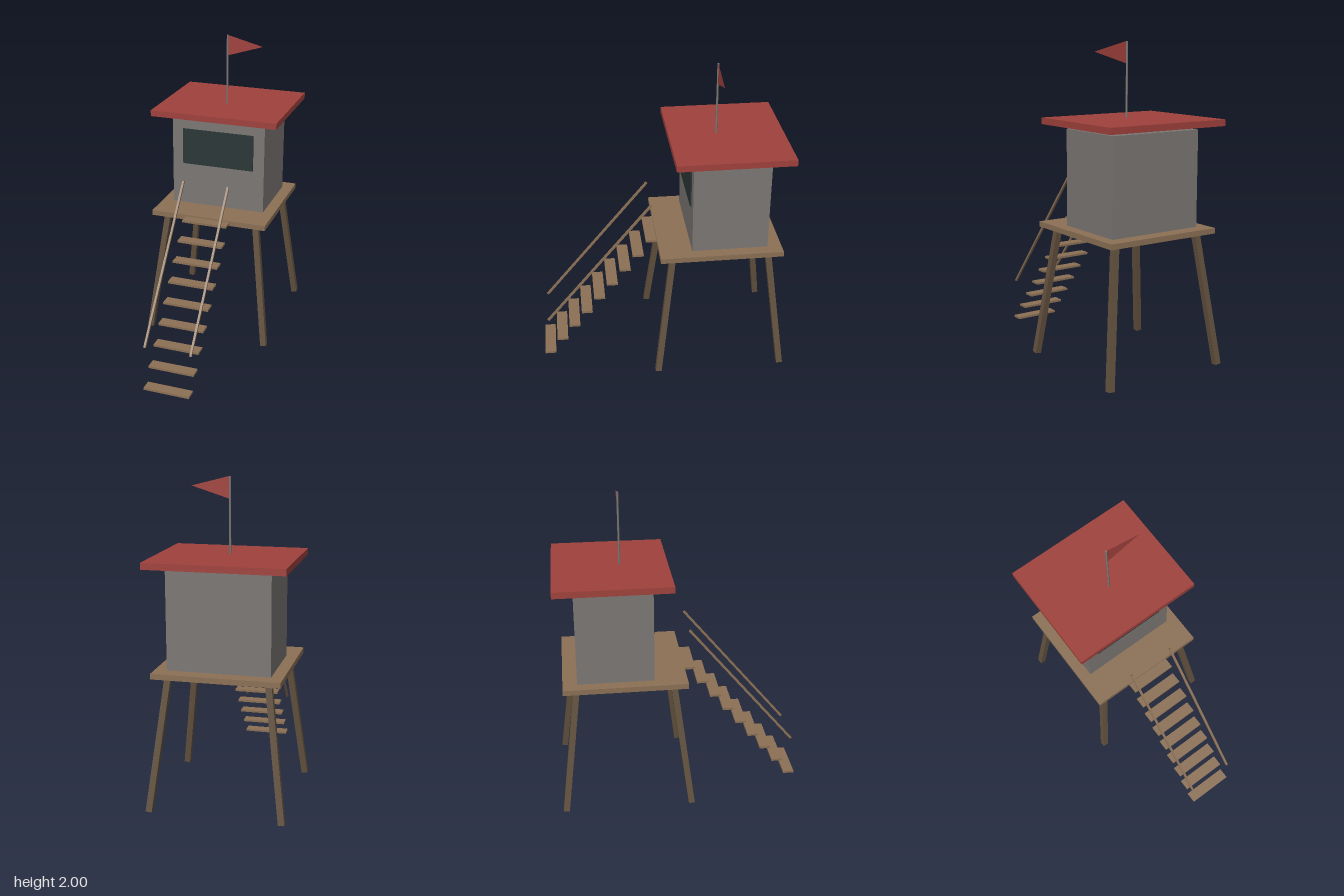
import * as THREE from 'three';

const material = (name, color, extra = {}) =>
  Object.assign(new THREE.MeshStandardMaterial({ color, ...extra }), { name });

export function createModel() {
  const wood = material('wood', 0x8b7055);
  const darkWood = material('dark wood', 0x63523f);
  const wall = material('grey wall', 0x7b7774);
  const red = material('red', 0xa0413c, { side: THREE.DoubleSide });
  const glass = material('dark glass', 0x2c3737);

  const model = new THREE.Group();
  model.name = 'watchtower';

  const add = (name, geometry, mat, x, y, z, parent = model) => {
    const mesh = new THREE.Mesh(geometry, mat);
    mesh.name = name;
    mesh.position.set(x, y, z);
    parent.add(mesh);
    return mesh;
  };
  const box = (name, w, h, d, mat, x, y, z, parent) =>
    add(name, new THREE.BoxGeometry(w, h, d), mat, x, y, z, parent);

  const centreZ = -0.363;

  // Platform on four splayed legs
  box('platform', 0.78, 0.034, 0.78, wood, 0, 0.858, centreZ);
  const legs = new THREE.Group();
  legs.name = 'legs';
  model.add(legs);
  const splay = 0.124;
  for (const sx of [-1, 1]) {
    for (const sz of [-1, 1]) {
      const leg = box('leg', 0.039, 0.854, 0.039, darkWood,
        sx * 0.356, 0.428, centreZ + sz * 0.356, legs);
      leg.rotation.set(-sz * splay, 0, sx * splay);
    }
  }

  // Cabin with a wide front window and a floating flat roof
  box('cabin', 0.632, 0.6, 0.482, wall, 0, 1.175, -0.421);
  box('window', 0.484, 0.242, 0.0095, glass, 0, 1.28, -0.1755);
  box('roof', 0.844, 0.04, 0.724, red, 0, 1.52, -0.424);

  // Flagpole and pennant
  add('flagpole', new THREE.CylinderGeometry(0.0065, 0.0065, 0.46, 8), wall, 0, 1.77, centreZ);
  const pennant = new THREE.Shape([
    new THREE.Vector2(0.005, 0),
    new THREE.Vector2(0.005, -0.133),
    new THREE.Vector2(0.237, -0.06),
  ]);
  add('flag', new THREE.ShapeGeometry(pennant), red, 0, 2, centreZ);

  // Open stair
  const stair = new THREE.Group();
  stair.name = 'stair';
  model.add(stair);
  for (let i = 0; i < 9; i++) {
    box('step', 0.302, 0.014, 0.073, wood, 0, 0.009 + i * 0.1062, 0.755 - i * 0.0867, stair);
  }

  // Sloping handrails
  const low = new THREE.Vector2(0.756, 0.285);
  const high = new THREE.Vector2(0.062, 1.127);
  const mid = low.clone().add(high).multiplyScalar(0.5);
  for (const sx of [-1, 1]) {
    const rail = box('handrail', 0.014, low.distanceTo(high), 0.014, wood,
      sx * 0.151, mid.y, mid.x, stair);
    rail.rotation.x = Math.atan2(high.x - low.x, high.y - low.y);
  }

  return model;
}
